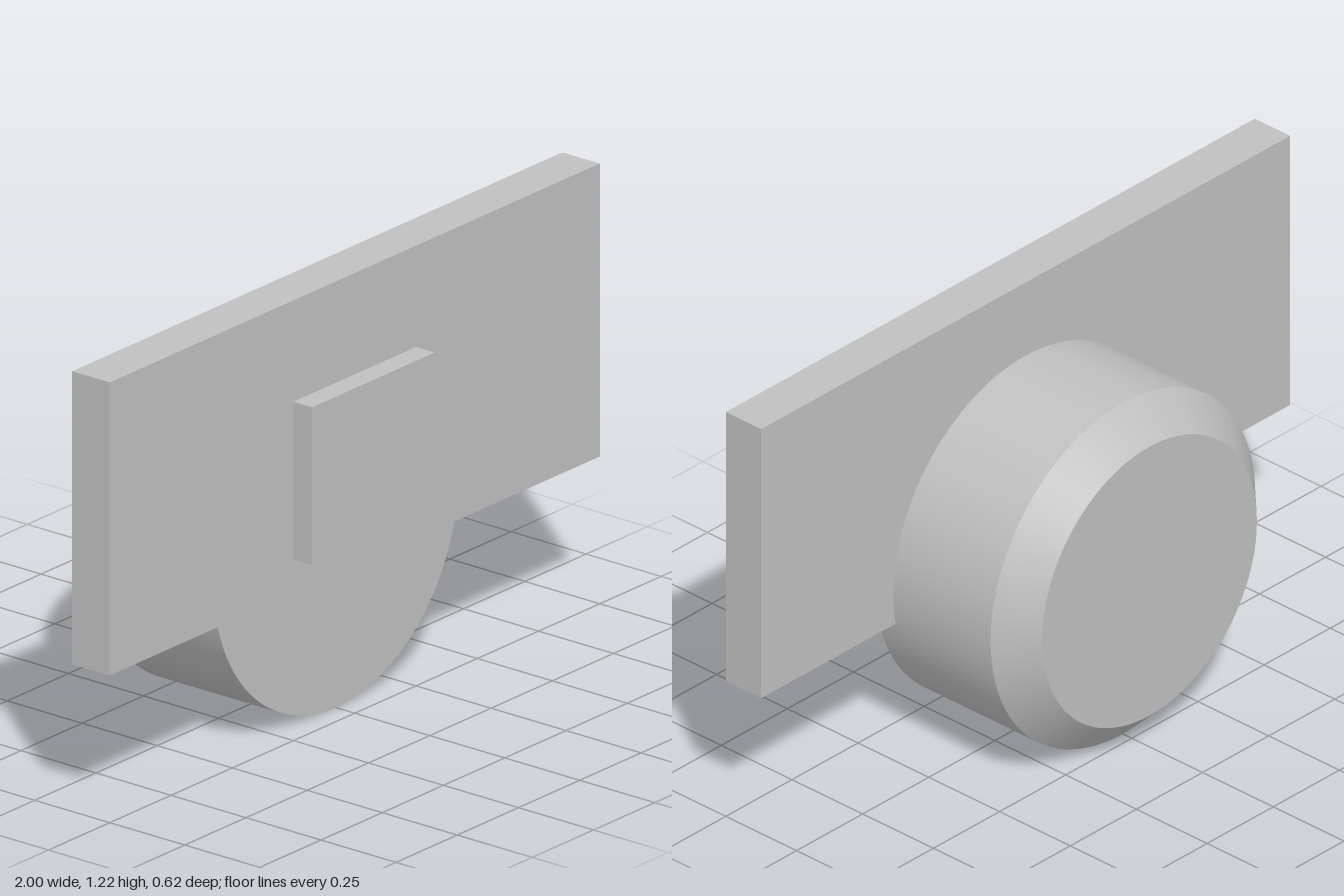
import * as THREE from 'three';
import { toCreasedNormals } from 'three/addons/utils/BufferGeometryUtils.js';

export function createModel() {
  const model = new THREE.Group();
  const grey = new THREE.MeshStandardMaterial({ color: 0xc0c0c0 });
  grey.name = 'light grey';

  const add = (name, geometry, x, y, z) => {
    const mesh = new THREE.Mesh(geometry, grey);
    mesh.name = name;
    mesh.position.set(x, y, z);
    model.add(mesh);
  };

  // Wide mounting plate and the small raised pad on its front
  add('plate', new THREE.BoxGeometry(2, 0.8125, 0.125), 0, 0.8145, 0.1875);
  add('frontPad', new THREE.BoxGeometry(0.5, 0.4375, 0.0625), 0, 0.721, 0.28125);

  // Round drum with a chamfered back rim, turned from a profile running back to front
  const profile = [
    [0, -0.3125], [0.406, -0.3125], [0.5, -0.2185], [0.5, 0.1875], [0, 0.1875],
  ].map(([r, h]) => new THREE.Vector2(r, h));
  const drum = toCreasedNormals(new THREE.LatheGeometry(profile, 96), 0.5);
  drum.rotateX(Math.PI / 2);
  add('drum', drum, 0, 0.5, 0);

  return model;
}
